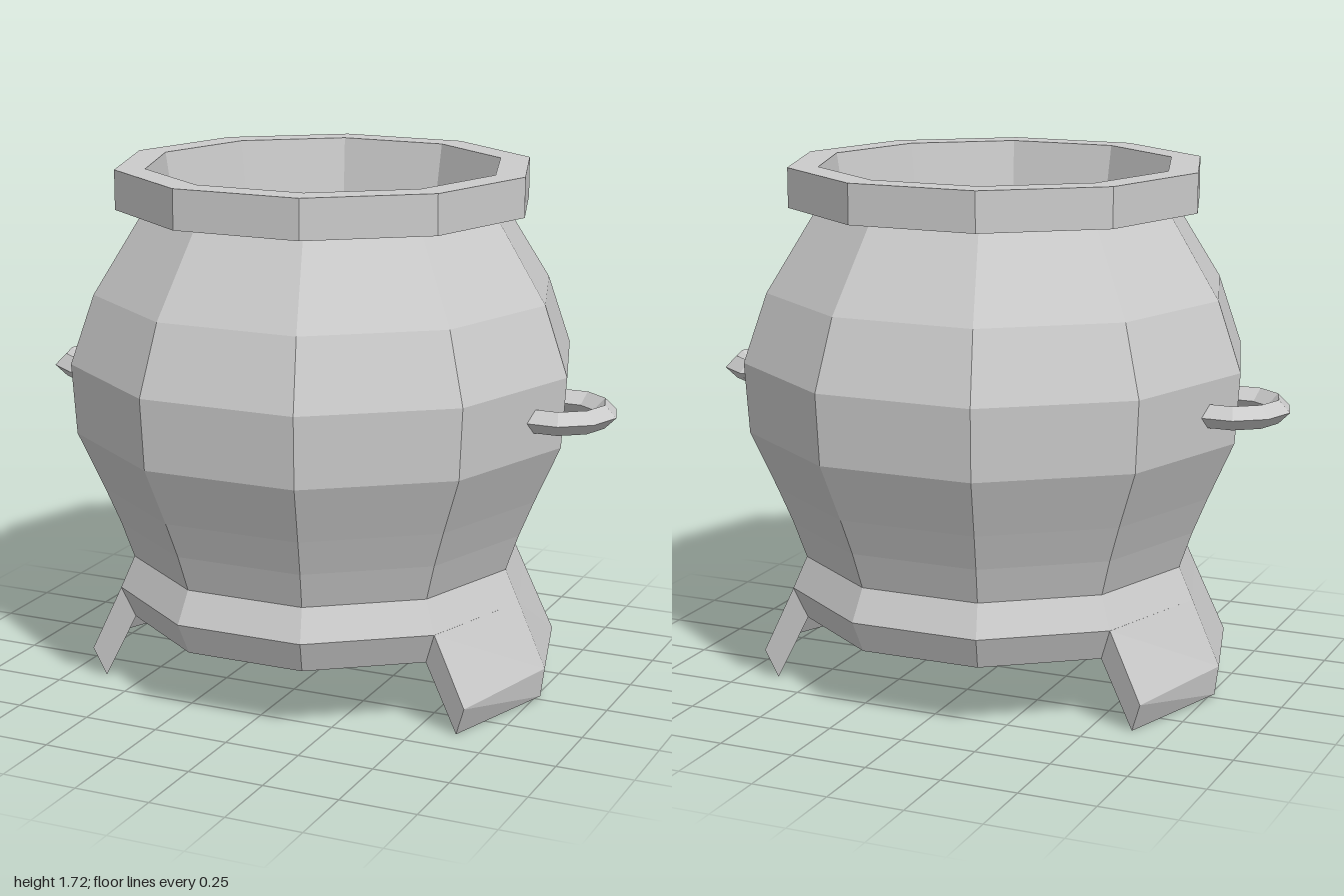
import * as THREE from 'three';

const material = new THREE.MeshStandardMaterial({ color: 0xcccccc, flatShading: true });
const STEP = Math.PI / 5; // ten-sided model

function addPart(parent, name, geometry) {
  const flat = geometry.index ? geometry.toNonIndexed() : geometry;
  flat.computeVertexNormals();
  const mesh = new THREE.Mesh(flat, material);
  mesh.name = name;
  parent.add(mesh);
  return mesh;
}

// Ten-sided ring of faces with a corner pointing along +x
function turned(profile) {
  const points = profile.map(([r, y]) => new THREE.Vector2(r, y));
  return new THREE.LatheGeometry(points, 10, STEP / 2);
}

// Splayed foot: a four-cornered section swept over two facets of the base
function legGeometry() {
  // [x, y, z] corners: inner upper, inner lower, outer lower, outer upper
  const side = [[0.558, 0.325, 0.405], [0.52, 0.22, 0.378], [0.63, 0, 0.39], [0.665, 0.098, 0.415]];
  const middle = [[0.69, 0.325, 0], [0.643, 0.22, 0], [0.772, 0.012, 0], [0.785, 0.11, 0]];
  const sections = [side.map(([x, y, z]) => [x, y, -z]), middle, side];
  const index = [0, 2, 1, 0, 3, 2, 8, 9, 10, 8, 10, 11]; // end caps
  for (let k = 0; k < 2; k++) {
    for (let j = 0; j < 4; j++) {
      const n = (j + 1) % 4;
      const a = k * 4 + j, b = k * 4 + n;
      index.push(a, b, b + 4, a, b + 4, a + 4);
    }
  }
  const geometry = new THREE.BufferGeometry();
  geometry.setAttribute('position', new THREE.Float32BufferAttribute(sections.flat(2), 3));
  geometry.setIndex(index);
  return geometry;
}

// Open ring with a diamond section, lying flat, bulging towards +x
function handleGeometry() {
  return new THREE.TorusGeometry(0.152, 0.038, 4, 6, STEP * 6)
    .rotateZ(-STEP * 3)
    .rotateX(Math.PI / 2)
    .translate(0.81, 0.977, 0);
}

export function createModel() {
  const model = new THREE.Group();
  model.name = 'cauldron';

  // Base flange, bulging belly, square rim and tapering hollow
  addPart(model, 'pot', turned([
    [0, 0.22], [0.643, 0.22], [0.69, 0.325], [0.643, 0.43],
    [0.685, 0.55], [0.735, 0.67], [0.82, 0.86], [0.835, 1.09],
    [0.757, 1.315], [0.587, 1.587], [0.682, 1.587], [0.682, 1.715],
    [0.583, 1.715], [0.433, 0.76], [0, 0.76],
  ]));

  // Paired parts: the second of each is turned half way round
  for (const [prefix, turn] of [['left', 0], ['right', Math.PI]]) {
    addPart(model, prefix + 'Leg', legGeometry()).rotation.y = turn;
    addPart(model, prefix + 'Handle', handleGeometry()).rotation.y = turn;
  }
  return model;
}
